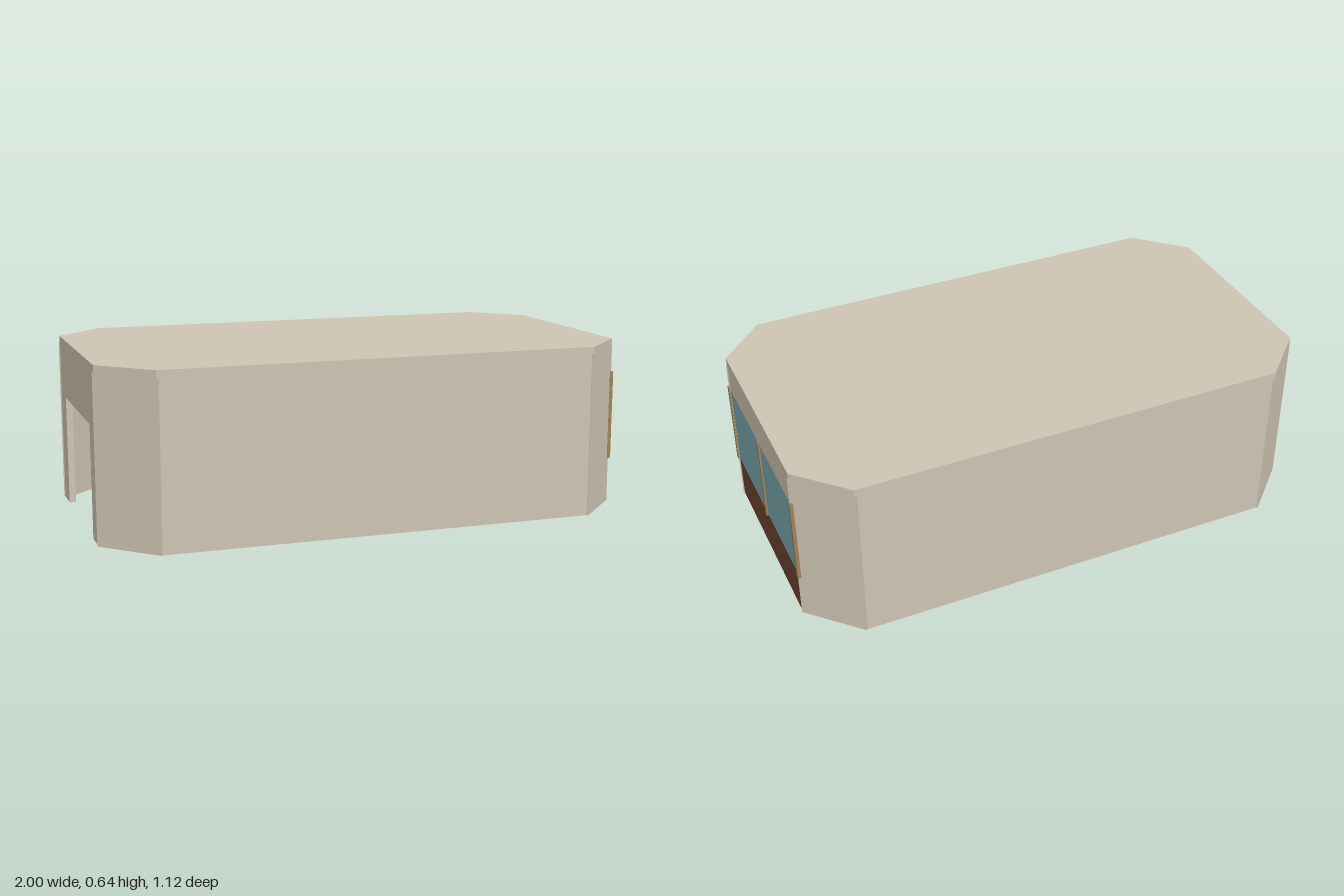
import * as THREE from 'three';

const mat = (name, color) => {
  const m = new THREE.MeshStandardMaterial({ color });
  m.name = name;
  return m;
};

export function createModel() {
  const model = new THREE.Group();
  model.name = 'room';
  const plaster = mat('plaster', 0xcdc4b3);
  const glass = mat('blueGlass', 0x7aa7ae);
  const brown = mat('darkWood', 0x70432f);
  const oak = mat('lightWood', 0xa08358);
  const grey = mat('greyTile', 0x77746f);

  const add = (name, geo, m, x = 0, y = 0, z = 0, parent = model) => {
    const mesh = new THREE.Mesh(geo, m);
    mesh.name = name;
    mesh.position.set(x, y, z);
    parent.add(mesh);
    return mesh;
  };
  // box given by its size, centre x / z and bottom y
  const box = (name, m, w, h, d, x, y, z, parent) =>
    add(name, new THREE.BoxGeometry(w, h, d), m, x, y + h / 2, z, parent);
  // flat outline in x/z pulled up by h
  const slab = (shape, h) =>
    new THREE.ExtrudeGeometry(shape, { depth: h, bevelEnabled: false, curveSegments: 10 }).rotateX(-Math.PI / 2);
  const roundRect = (hx, hz, r, Kind = THREE.Shape) => {
    const s = new Kind();
    s.moveTo(-hx + r, -hz);
    s.lineTo(hx - r, -hz).absarc(hx - r, -hz + r, r, -Math.PI / 2, 0);
    s.lineTo(hx, hz - r).absarc(hx - r, hz - r, r, 0, Math.PI / 2);
    s.lineTo(-hx + r, hz).absarc(-hx + r, hz - r, r, Math.PI / 2, Math.PI);
    s.lineTo(-hx, -hz + r).absarc(-hx + r, -hz + r, r, Math.PI, Math.PI * 1.5);
    return s;
  };

  // Shell dimensions
  const X0 = -1, X1 = 0.993, Z = 0.556, cx = 0.82, cz = 0.38, T = 0.025, H = 0.64, P = 0.614;

  // Roof: octagonal slab
  const roof = new THREE.Shape([
    [X0, -cz], [-cx, -Z], [cx, -Z], [X1, -cz], [X1, cz], [cx, Z], [-cx, Z], [X0, cz],
  ].map(([x, y]) => new THREE.Vector2(x, y)));
  add('roof', slab(roof, H - P), plaster, 0, P, 0);

  // Long walls and the slightly overlapping corner panels
  for (const s of [1, -1]) {
    box(s > 0 ? 'frontWall' : 'backWall', plaster, cx * 2, P, T, 0, 0, s * (Z - T / 2));
    for (const xe of [X0, X1]) {
      const sx = Math.sign(xe);
      const dx = Math.abs(xe) - cx, dz = Z - cz, len = Math.hypot(dx, dz);
      const nx = sx * dz / len, nz = s * dx / len;
      const panel = box('cornerPanel', plaster, len + 0.012, P, T,
        sx * (cx + dx / 2) - nx * T / 2, 0, s * (cz + dz / 2) - nz * T / 2);
      panel.rotation.y = Math.atan2(nx, nz);
    }
  }

  // Window end: wooden base, two panes, plaster above, upright bars
  const wx = X1 - T / 2;
  box('windowBase', brown, T, 0.175, cz * 2, wx, 0, 0);
  box('windowHeader', plaster, T, P - 0.5, cz * 2, wx, 0.5, 0);
  for (const s of [1, -1]) box('windowPane', glass, T, 0.325, cz, wx, 0.175, s * cz / 2);
  for (const z of [-0.378, 0, 0.38]) box('windowBar', oak, 0.014, 0.34, 0.015, 0.993, 0.172, z);

  // Open end: two jambs and a lintel
  const ox = X0 + T / 2;
  for (const s of [1, -1]) box('doorJamb', plaster, T, P, cz - 0.27, ox, 0, s * (cz + 0.27) / 2);
  box('doorLintel', plaster, T, P - 0.415, 0.54, ox, 0.415, 0);

  // Sunken bath with a rounded surround
  const bath = new THREE.Group();
  bath.name = 'bath';
  bath.position.set(0.48, 0, -0.06);
  model.add(bath);
  const surround = roundRect(0.45, 0.31, 0.09);
  surround.holes.push(roundRect(0.41, 0.27, 0.07, THREE.Path));
  add('bathSurround', slab(surround, 0.1), plaster, 0, 0, 0, bath);
  add('bathDeck', slab(roundRect(0.41, 0.27, 0.07), 0.01), glass, 0, 0.085, 0, bath);
  add('bathBasin', slab(roundRect(0.28, 0.2, 0.16), 0.045), glass, 0, 0.01, 0, bath);
  add('bathRim', slab(roundRect(0.28, 0.2, 0.16), 0.08), plaster, 0, 0.055, 0, bath);
  add('bathWater', slab(roundRect(0.25, 0.17, 0.14), 0.006), glass, 0, 0.135, 0, bath);
  for (const [x, z] of [[0.16, 0.09], [-0.16, 0.09], [0.16, -0.09], [-0.16, -0.09]])
    box('bathSeat', grey, 0.06, 0.006, 0.05, x, 0.006, z, bath);

  // Desk with a side shelf against the front wall
  box('desk', brown, 0.2, 0.2, 0.13, -0.31, 0, 0.46);
  box('sideShelf', brown, 0.09, 0.025, 0.05, -0.15, 0.13, 0.49);

  // Chairs
  const chair = (x, z, turn) => {
    const g = new THREE.Group();
    g.name = 'chair';
    g.position.set(x, 0, z);
    g.rotation.y = turn;
    model.add(g);
    for (const a of [-1, 1]) {
      box('chairRunner', brown, 0.012, 0.012, 0.1, a * 0.035, 0, 0, g);
      for (const b of [-1, 1]) box('chairLeg', brown, 0.012, 0.05, 0.012, a * 0.035, 0.01, b * 0.035, g);
      box('chairArm', brown, 0.012, 0.012, 0.09, a * 0.045, 0.095, 0, g);
    }
    box('chairSeat', brown, 0.09, 0.015, 0.09, 0, 0.055, 0, g);
    box('chairCushion', glass, 0.07, 0.008, 0.07, 0, 0.07, 0, g);
    box('chairBack', brown, 0.09, 0.08, 0.014, 0, 0.065, -0.042, g);
  };
  chair(-0.43, 0.38, -Math.PI / 2);
  chair(-0.63, 0.41, Math.PI / 2);

  // Washroom: L-shaped partition, tiled tray, glass screen
  box('washroomWall', plaster, 0.24, 0.42, 0.02, -0.59, 0, 0.07);
  box('washroomSideWall', plaster, 0.02, 0.42, 0.52, -0.7, 0, -0.19);
  box('showerTray', grey, 0.2, 0.02, 0.2, -0.59, 0.005, -0.04);
  box('showerScreen', glass, 0.2, 0.28, 0.008, -0.59, 0.02, -0.145);
  box('towelShelf', brown, 0.04, 0.03, 0.1, -0.67, 0.13, -0.34);

  // Toilet: tapered bowl, seat and tank
  add('toiletBowl', new THREE.LatheGeometry([
    [0, 0], [0.03, 0], [0.035, 0.03], [0.055, 0.08], [0.055, 0.09], [0, 0.09],
  ].map(([r, y]) => new THREE.Vector2(r, y)), 20), plaster, -0.46, 0.01, -0.3);
  box('toiletTank', plaster, 0.1, 0.09, 0.045, -0.46, 0.08, -0.37);

  // Shower pipe with a round head
  const pipe = new THREE.CatmullRomCurve3([
    [-0.5, 0.08, 0.04], [-0.5, 0.25, 0.045], [-0.5, 0.3, 0.02], [-0.5, 0.28, -0.02],
  ].map((p) => new THREE.Vector3(...p)));
  add('showerPipe', new THREE.TubeGeometry(pipe, 20, 0.006, 8), oak);
  add('showerHead', new THREE.CylinderGeometry(0.008, 0.022, 0.02, 16), oak, -0.5, 0.272, -0.02);

  return model;
}
